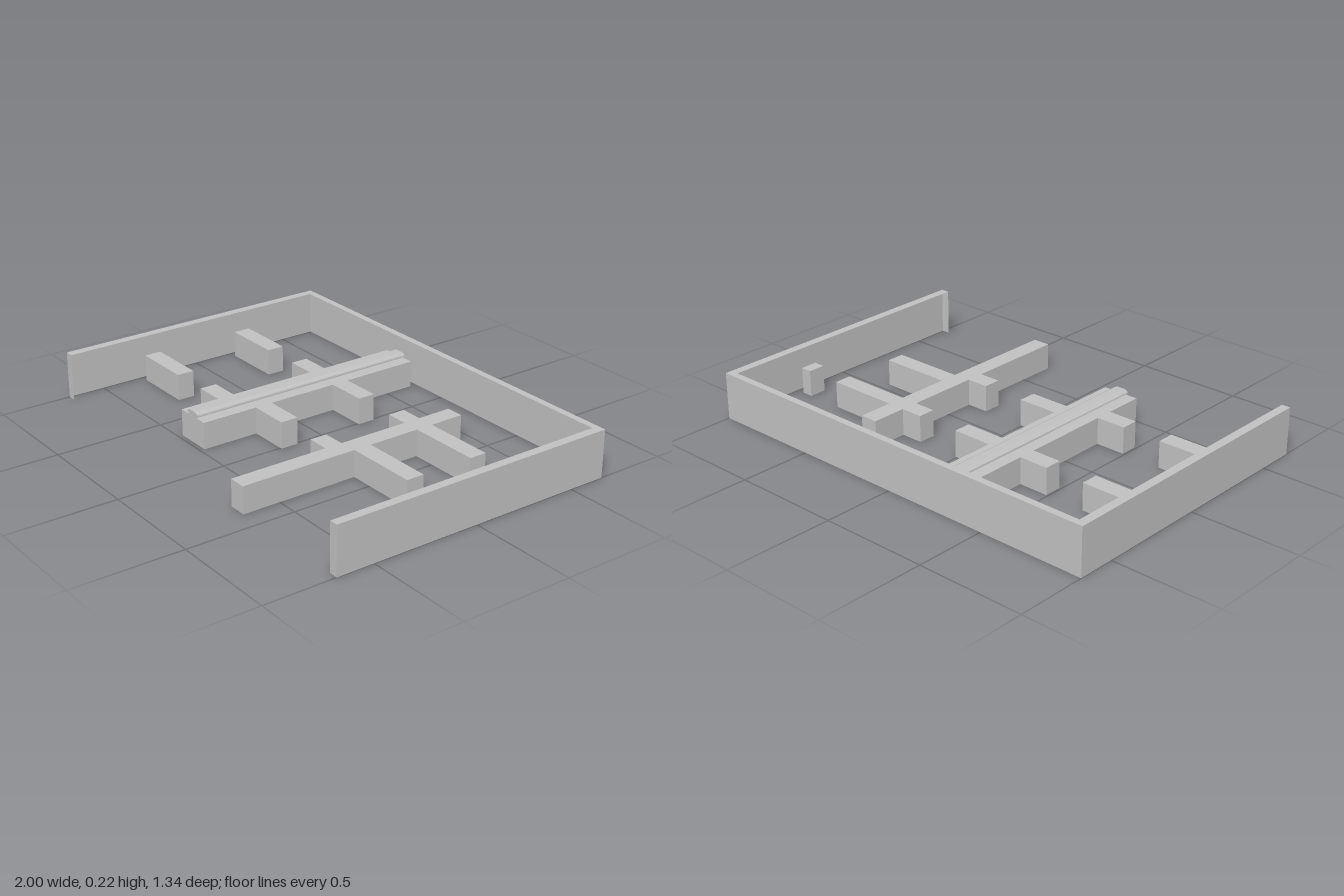
import * as THREE from 'three';
import { mergeGeometries } from 'three/addons/utils/BufferGeometryUtils.js';

// Double-sided because the walls are thin shells, open underneath
const grey = new THREE.MeshStandardMaterial({ color: 0xc0c0c0, side: THREE.DoubleSide });
grey.name = 'plaster grey';

// Wall shell over a floor plan of [x, z] corners: a top and sides, without the
// underside and without the sides whose numbers are listed in openSides
function wallShell(pts, height, openSides = []) {
  const top = new THREE.ShapeGeometry(new THREE.Shape(pts.map(([x, z]) => new THREE.Vector2(x, -z))));
  top.rotateX(-Math.PI / 2).translate(0, height, 0);
  top.deleteAttribute('uv');

  const corners = [];
  pts.forEach(([ax, az], i) => {
    if (openSides.includes(i)) return;
    const [bx, bz] = pts[(i + 1) % pts.length];
    corners.push(ax, 0, az, ax, height, az, bx, height, bz);
    corners.push(ax, 0, az, bx, height, bz, bx, 0, bz);
  });
  const sides = new THREE.BufferGeometry();
  sides.setAttribute('position', new THREE.Float32BufferAttribute(corners, 3));
  sides.computeVertexNormals();
  return mergeGeometries([top.toNonIndexed(), sides]);
}

const rect = (x0, x1, z0, z1) => [[x0, z0], [x1, z0], [x1, z1], [x0, z1]];

export function createModel() {
  const model = new THREE.Group();
  model.name = 'wallLayout';
  const add = (name, geo) => {
    const mesh = new THREE.Mesh(geo, grey);
    mesh.name = name;
    model.add(mesh);
    return mesh;
  };

  // Tall U-shaped outer wall: a single skin with a flange on top and front returns
  add('outerWall', wallShell([
    [-1, -0.672], [1, -0.672], [1, 0.672], [0.96, 0.672],
    [0.96, -0.64], [-0.96, -0.64], [-0.96, 0.672], [-1, 0.672],
  ], 0.216, [3, 4, 5]));

  // Low partitions, open where they meet the outer wall
  const low = 0.122;
  add('rearRightStub', wallShell(rect(-0.96, -0.677, -0.276, -0.196), low, [3]));
  add('frontRightStub', wallShell(rect(-0.96, -0.677, 0.215, 0.295), low, [3]));
  add('leftStub', wallShell(rect(0.907, 0.96, -0.276, -0.196), low, [1]));

  add('middlePartition', wallShell([
    [-0.353, -0.64], [-0.18, -0.64], [-0.18, -0.276], [0.008, -0.276], [0.008, -0.196],
    [-0.18, -0.196], [-0.18, 0.132], [0.008, 0.132], [0.008, 0.215], [-0.18, 0.215],
    [-0.18, 0.478], [-0.353, 0.478], [-0.353, 0.295], [-0.491, 0.295], [-0.491, 0.215],
    [-0.353, 0.215], [-0.353, -0.196], [-0.491, -0.196], [-0.491, -0.276], [-0.353, -0.276],
  ], low, [0]));

  add('leftPartition', wallShell([
    [0.317, -0.437], [0.399, -0.437], [0.399, -0.276], [0.734, -0.276], [0.734, -0.196],
    [0.399, -0.196], [0.399, 0.047], [0.734, 0.047], [0.734, 0.13], [0.399, 0.13],
    [0.399, 0.672], [0.317, 0.672], [0.317, 0.215], [0.214, 0.215], [0.214, 0.134],
    [0.317, 0.134], [0.317, -0.196], [0.214, -0.196], [0.214, -0.276], [0.317, -0.276],
  ], low));

  // Rail with a narrow neck along the middle partition
  const half = [[0.028, low], [0.028, 0.127], [0.039, 0.132], [0.037, 0.138], [0.022, 0.146]];
  const profile = [...half, ...half.map(([x, y]) => [-x, y]).reverse()];
  const rail = new THREE.ExtrudeGeometry(
    new THREE.Shape(profile.map(([x, y]) => new THREE.Vector2(x, y))),
    { depth: 1.118, bevelEnabled: false });
  add('middleRail', rail).position.set(-0.267, 0, -0.64);

  return model;
}
